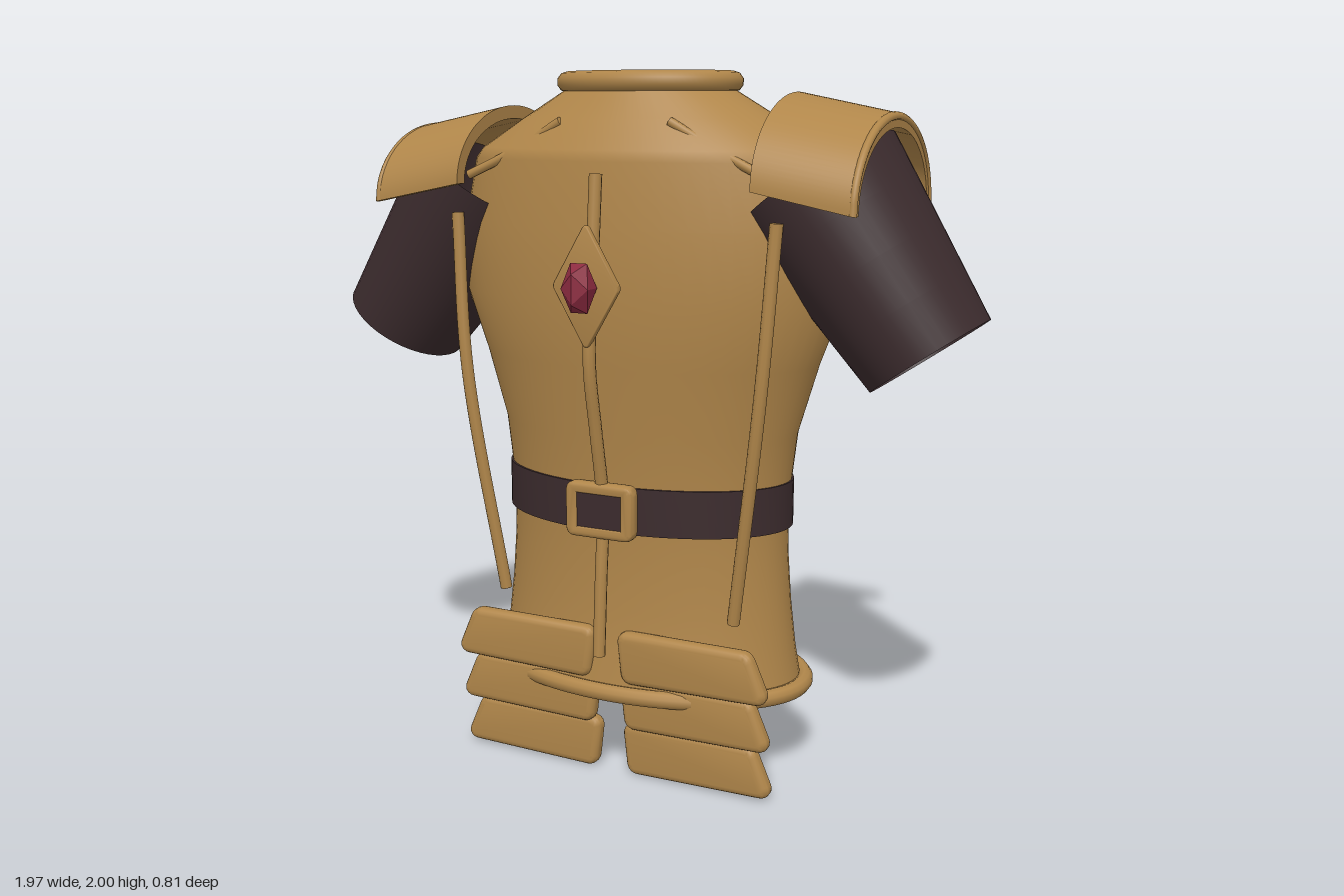
import * as THREE from 'three';
import { toCreasedNormals } from 'three/addons/utils/BufferGeometryUtils.js';

const material = (name, color, side = THREE.DoubleSide) => {
  const m = new THREE.MeshStandardMaterial({ color, side });
  m.name = name;
  return m;
};
const V = (x, y, z) => new THREE.Vector3(x, y, z);
const CZ = -0.06; // depth of the body axis

// Skin over closed rings of points
function loft(rings) {
  const n = rings[0].length, index = [];
  for (let r = 0; r < rings.length - 1; r++) {
    for (let i = 0; i < n; i++) {
      const a = r * n + i, b = r * n + (i + 1) % n;
      index.push(a, a + n, b, b, a + n, b + n);
    }
  }
  const g = new THREE.BufferGeometry().setFromPoints(rings.flat());
  g.setIndex(index);
  g.computeVertexNormals();
  return g;
}

// Ring of points around a centre, spanned by two half axes
function ring(center, u, v, n = 56) {
  return Array.from({ length: n }, (_, i) => {
    const t = (i / n) * Math.PI * 2;
    return center.clone().addScaledVector(u, Math.cos(t)).addScaledVector(v, Math.sin(t));
  });
}
const level = (y, w, d) => ring(V(0, y, CZ), V(w, 0, 0), V(0, 0, -d));

function tube(points, radius, closed = false) {
  const curve = new THREE.CatmullRomCurve3(points, closed);
  return new THREE.TubeGeometry(curve, closed ? 96 : 32, radius, 10, closed);
}

// Tube with flat closed ends
function rod(points, radius) {
  const curve = new THREE.CatmullRomCurve3(points);
  const parts = [tube(points, radius)];
  for (const t of [0, 1]) {
    const cap = new THREE.CircleGeometry(radius, 10);
    const dir = curve.getTangent(t).multiplyScalar(t ? 1 : -1);
    cap.applyQuaternion(new THREE.Quaternion().setFromUnitVectors(V(0, 0, 1), dir));
    const p = curve.getPoint(t);
    parts.push(cap.translate(p.x, p.y, p.z));
  }
  return parts;
}

// Polygon with corners rounded by a small distance
function polygon(points, round) {
  const shape = new THREE.Shape(), p = points.map(([x, y]) => new THREE.Vector2(x, y)), n = p.length;
  p.forEach((c, i) => {
    const toward = (q) => c.clone().add(q.clone().sub(c).setLength(round));
    const from = toward(p[(i + n - 1) % n]), to = toward(p[(i + 1) % n]);
    if (i) shape.lineTo(from.x, from.y);
    else shape.moveTo(from.x, from.y);
    shape.quadraticCurveTo(c.x, c.y, to.x, to.y);
  });
  shape.closePath();
  return shape;
}
const rectangle = (w, h, round) => polygon([[-w, -h], [w, -h], [w, h], [-w, h]], round);

// Bevelled slab centred on z = 0
function slab(shape, thickness, bevel) {
  const depth = thickness - 2 * bevel;
  const g = new THREE.ExtrudeGeometry(shape, {
    depth, bevelEnabled: true, bevelSize: bevel, bevelThickness: bevel, bevelSegments: 4, curveSegments: 5,
  });
  return toCreasedNormals(g.translate(0, 0, -depth / 2), 0.7);
}

export function createModel() {
  const model = new THREE.Group();
  const bronze = material('bronze', 0xb0864a);
  const leather = material('dark leather', 0x3b2b2d);
  const ruby = material('ruby', 0x8c2b40, THREE.FrontSide);
  ruby.flatShading = true;

  const add = (name, geometry, mat = bronze, parent = model) => {
    const mesh = new THREE.Mesh(geometry, mat);
    mesh.name = name;
    parent.add(mesh);
    return mesh;
  };
  const addRod = (name, points, radius) => {
    const group = new THREE.Group();
    group.name = name;
    model.add(group);
    rod(points, radius).forEach((g) => add(name + 'Part', g, bronze, group));
  };

  // Torso shell with open neck and hem: height, half width, half depth
  const profile = [
    [0.25, 0.48, 0.29], [0.37, 0.46, 0.272], [0.5, 0.445, 0.258], [0.65, 0.433, 0.256], [0.8, 0.432, 0.258],
    [1.0, 0.455, 0.275], [1.2, 0.515, 0.3], [1.38, 0.582, 0.32], [1.58, 0.585, 0.312],
    [1.76, 0.545, 0.297], [1.79, 0.52, 0.288], [1.87, 0.39, 0.235], [1.96, 0.235, 0.175],
  ];
  add('torso', loft(profile.map((p) => level(...p))));
  add('collarRing', tube(level(1.972, 0.245, 0.177), 0.029, true));
  add('hemRing', tube(level(0.262, 0.49, 0.297), 0.025, true));

  // Belt with a thin rim above and below
  add('belt', toCreasedNormals(loft([
    level(0.73, 0.425, 0.25), level(0.73, 0.445, 0.271), level(0.865, 0.445, 0.271), level(0.865, 0.425, 0.25),
  ]), 0.7), leather);

  // Buckle frame and its dark centre
  const frame = rectangle(0.093, 0.067, 0.015);
  frame.holes.push(rectangle(0.078, 0.058, 0.003));
  add('buckle', slab(frame, 0.045, 0.012)).position.set(0, 0.802, 0.242);
  add('buckleCentre', new THREE.BoxGeometry(0.145, 0.104, 0.008), leather).position.set(0, 0.802, 0.256);

  // Centre seam, diamond mount and gem
  addRod('centreSeam', [V(0, 1.73, 0.265), V(0, 1.48, 0.288), V(0, 1.23, 0.308), V(0, 1.03, 0.272),
    V(0, 0.82, 0.234), V(0, 0.6, 0.247), V(0, 0.38, 0.262)], 0.018);
  add('diamondMount', slab(polygon([[0, -0.158], [0.093, 0], [0, 0.158], [-0.093, 0]], 0.008), 0.022, 0.008))
    .position.set(0, 1.435, 0.32);
  const gem = add('gem', new THREE.IcosahedronGeometry(0.05, 0), ruby);
  gem.scale.set(0.95, 1.55, 1);
  gem.position.set(0, 1.436, 0.363);

  for (const s of [1, -1]) {
    const side = s > 0 ? 'left' : 'right';

    // Tapered sleeve, open at both ends, widest at the shoulder
    const top = V(s * 0.503, 1.707, -0.065), cuff = V(s * 0.835, 1.255, -0.05);
    const sleeve = [0, 0.25, 0.5, 0.75, 1].map((t) => {
      const r = 0.24 - 0.057 * t;
      return ring(top.clone().lerp(cuff, t), V(s * 0.82 * r, 0.573 * r, 0), V(0, 0, 1.1 * r), 40);
    });
    add(side + 'Sleeve', loft(sleeve), leather);

    // Arched shoulder plate, sloping outward; the left one is a little larger
    const a = s > 0 ? 0.342 : 0.315, b = s > 0 ? 0.25 : 0.215, base = 1.693;
    const arch = new THREE.Shape();
    arch.absellipse(0, 0, a, b, 0, Math.PI, false);
    arch.absellipse(0, 0, a - 0.038, b - 0.038, Math.PI, 0, true);
    const slope = (g) => {
      const p = g.attributes.position;
      for (let i = 0; i < p.count; i++) p.setY(i, p.getY(i) - 0.2 * (Math.abs(p.getX(i)) - 0.445));
      return g;
    };
    const plate = new THREE.ExtrudeGeometry(arch, { depth: 0.275, bevelEnabled: false, curveSegments: 28 });
    plate.rotateY(Math.PI / 2).translate(s > 0 ? 0.445 : -0.72, base, -0.063);
    add(side + 'Pauldron', toCreasedNormals(slope(plate), 0.6));

    // Rolled rim on the outer edge of the shoulder plate
    const rim = Array.from({ length: 17 }, (_, i) => {
      const t = (i / 16) * Math.PI;
      return V(s * 0.715, base + (b - 0.008) * Math.sin(t), -0.063 + (a - 0.008) * Math.cos(t));
    });
    add(side + 'PauldronRim', slope(tube(rim, 0.011)));

    // Side seam and collarbone strap, partly sunk into the torso
    addRod(side + 'SideSeam', [V(s * 0.485, 1.61, 0.19), V(s * 0.455, 1.16, 0.205), V(s * 0.367, 0.5, 0.158)], 0.018);
    addRod(side + 'CollarStrap', [V(s * 0.165, 1.865, 0.157), V(s * 0.3, 1.79, 0.15), V(s * 0.46, 1.715, 0.165)], 0.013);

    // Three overlapping skirt plates
    for (let i = 0; i < 3; i++) {
      const corners = [[0.069, 0.02], [0.475, 0.027], [0.428, 0.135], [0.056, 0.135]];
      const shape = polygon(corners.map(([x, y]) => [s * x, y]), 0.014);
      add(side + 'SkirtPlate' + (i + 1), slab(shape, 0.05, 0.02)).position.set(0, 0.291 - 0.1455 * i, 0.21 - 0.02 * i);
    }
  }
  return model;
}
